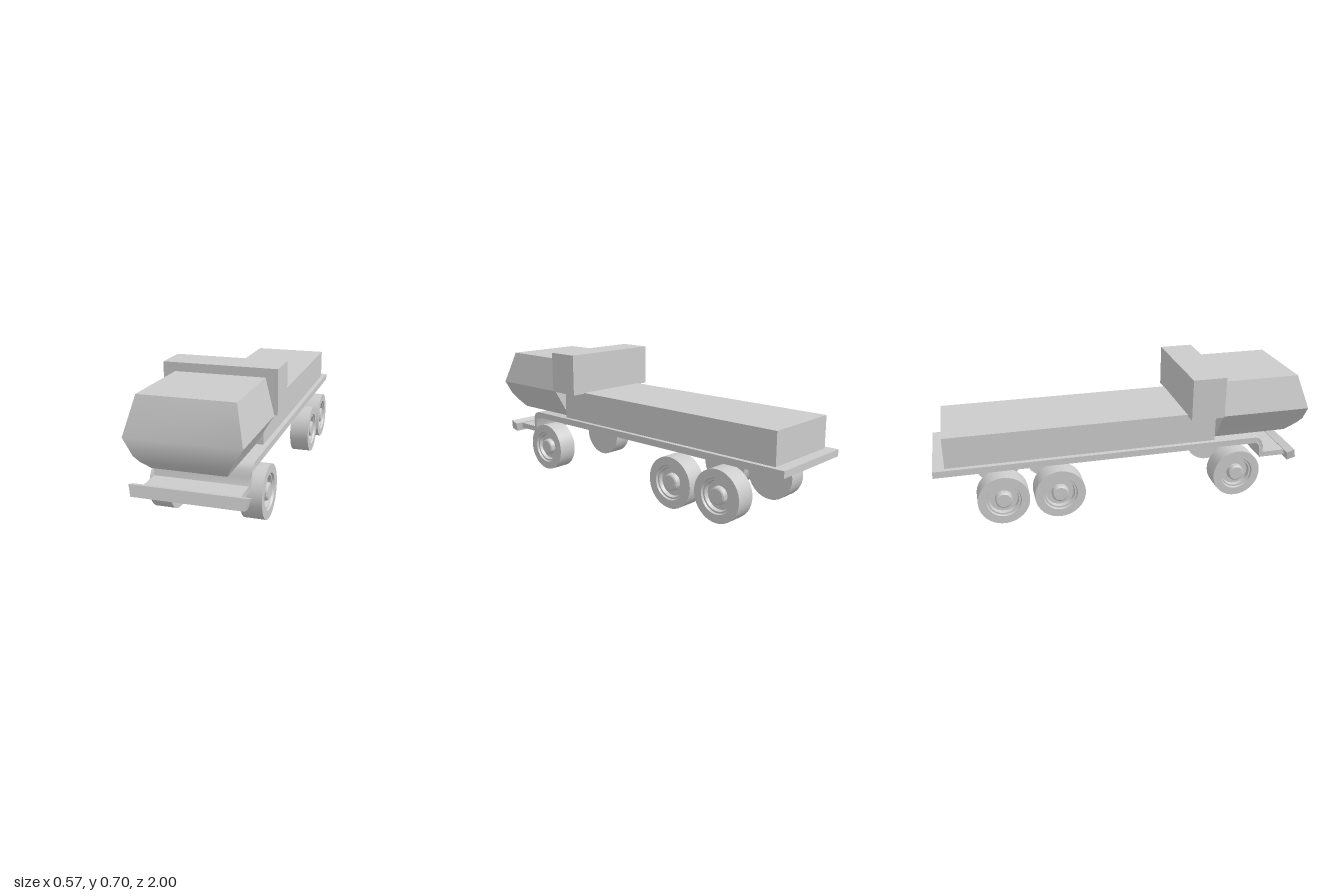
import * as THREE from 'three';
import { toCreasedNormals } from 'three/addons/utils/BufferGeometryUtils.js';

const material = new THREE.MeshStandardMaterial({ color: 0xcccccc });

// Extrude a [z, y] side profile across the width
function sideProfile(points, width) {
  const shape = new THREE.Shape(points.map(([z, y]) => new THREE.Vector2(z, y)));
  return new THREE.ExtrudeGeometry(shape, { depth: width, bevelEnabled: false })
    .translate(0, 0, -width / 2)
    .rotateY(-Math.PI / 2);
}

// Move every vertex by a rule
function reshape(geometry, rule) {
  const pos = geometry.attributes.position;
  const v = new THREE.Vector3();
  for (let i = 0; i < pos.count; i++) {
    rule(v.fromBufferAttribute(pos, i));
    pos.setXYZ(i, v.x, v.y, v.z);
  }
  return geometry;
}

export function createModel() {
  const model = new THREE.Group();

  function add(name, geometry, crease = 0.6) {
    const mesh = new THREE.Mesh(toCreasedNormals(geometry, crease), material);
    mesh.name = name;
    model.add(mesh);
    return mesh;
  }
  function box(name, x0, x1, y0, y1, z0, z1) {
    add(name, new THREE.BoxGeometry(x1 - x0, y1 - y0, z1 - z0)
      .translate((x0 + x1) / 2, (y0 + y1) / 2, (z0 + z1) / 2));
  }

  box('cargoBed', -0.217, 0.212, 0.32, 0.485, -0.94, 0.49);
  box('roofPod', -0.286, 0.286, 0.48, 0.702, 0.33, 0.51);

  // Chassis plate, bent down at the front to carry the bumper
  const chassis = sideProfile([
    [-1, 0.285], [0.717, 0.287], [0.737, 0.28], [0.745, 0.267], [0.758, 0.192],
    [0.91, 0.192], [0.91, 0.222], [0.775, 0.222], [0.766, 0.265], [0.758, 0.295],
    [0.742, 0.313], [0.72, 0.32], [-1, 0.32],
  ], 0.48);
  add('chassis', reshape(chassis, (v) => {
    if (v.y < 0.27) v.x *= 1 - Math.min(0.045, (0.27 - v.y) * 0.9);
  })).position.x = -0.003;

  // Bumper with ends cut in at the bottom
  const bumper = sideProfile([[0.91, 0.175], [0.957, 0.187], [0.942, 0.24], [0.898, 0.226]], 0.557);
  add('bumper', reshape(bumper, (v) => {
    if (v.y < 0.2) v.x *= 0.95;
  })).position.x = -0.003;

  // Cab: cross-section extruded forward, with the nose set by height
  const rows = [ // y, half width, nose z
    [0.32, 0.175, 0.92], [0.365, 0.202, 0.975], [0.4, 0.223, 1],
    [0.478, 0.27, 1], [0.658, 0.226, 0.94],
  ];
  const outline = [
    ...rows.map(([y, w]) => new THREE.Vector2(w, y)),
    ...rows.map(([y, w]) => new THREE.Vector2(-w, y)).reverse(),
  ];
  const backZ = 0.51;
  // The front and back are rebuilt as strips so each row stays level
  const corners = [];
  const quad = (a, b, c, d) => corners.push(...a, ...b, ...c, ...a, ...c, ...d);
  for (let i = 0; i < rows.length - 1; i++) {
    const [y0, w0, n0] = rows[i];
    const [y1, w1, n1] = rows[i + 1];
    quad([-w0, y0, n0], [w0, y0, n0], [w1, y1, n1], [-w1, y1, n1]);
    quad([w0, y0, backZ], [-w0, y0, backZ], [-w1, y1, backZ], [w1, y1, backZ]);
  }
  // Sides, floor and roof follow the outline
  const nose = [...rows, ...[...rows].reverse()].map((r) => r[2]);
  outline.forEach((p, i) => {
    const j = (i + 1) % outline.length;
    const q = outline[j];
    quad([p.x, p.y, nose[i]], [p.x, p.y, backZ], [q.x, q.y, backZ], [q.x, q.y, nose[j]]);
  });
  const cab = new THREE.BufferGeometry();
  cab.setAttribute('position', new THREE.Float32BufferAttribute(corners, 3));
  add('cab', cab, 0.65);

  // Wheels: flat inside, recessed rim and raised hub outside
  const tyre = [
    [0, 0], [0.133, 0], [0.133, 0.105], [0.09, 0.105], [0.086, 0.095], [0.077, 0.095],
    [0.073, 0.075], [0.045, 0.075], [0.043, 0.1], [0.036, 0.105], [0, 0.105],
  ].map(([r, h]) => new THREE.Vector2(r, h));
  const axles = { front: 0.605, middle: -0.37, rear: -0.662 };
  for (const [axle, z] of Object.entries(axles)) {
    for (const side of [1, -1]) {
      const wheel = new THREE.LatheGeometry(tyre, 40).rotateZ(-side * Math.PI / 2);
      add(`${axle}${side > 0 ? 'Left' : 'Right'}Wheel`, wheel)
        .position.set(side * 0.173 - 0.002, 0.133, z);
    }
  }
  return model;
}
